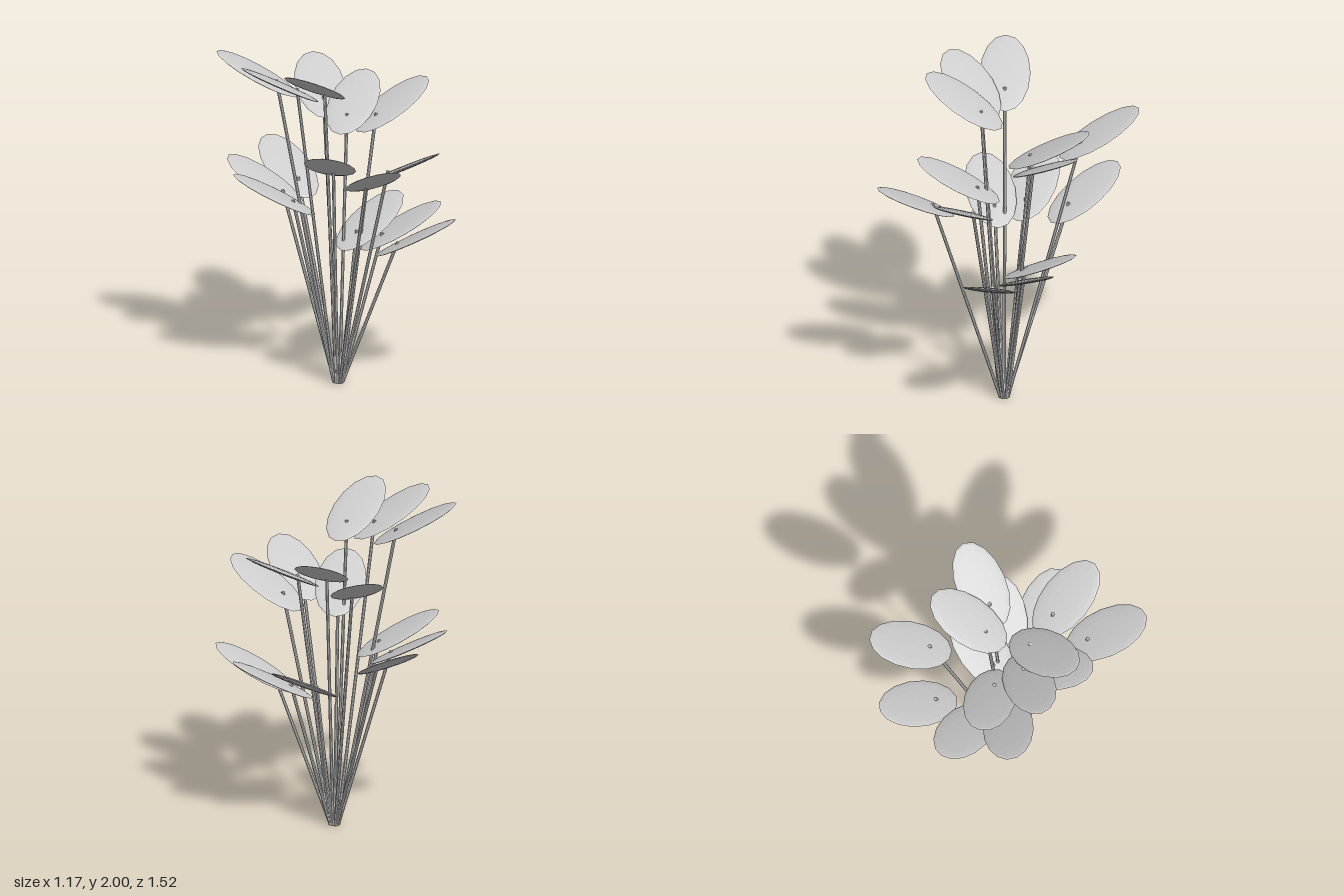
import * as THREE from 'three';

const leafGrey = new THREE.MeshStandardMaterial({ color: 0xcccccc, flatShading: true });
leafGrey.name = 'pale grey';

const BASE = [-0.017, 0, 0.022];  // foot of the bunch
const RING = 0.025;               // stems start on a small ring
const TILT = THREE.MathUtils.degToRad(28);
const LEAN = 0.11;                // leaf centre lies this far beyond its stem

// each tier: height of leaf centres, then [direction in degrees, reach] per leaf
const TIERS = [
  { y: 1.87, leaves: [[170, 0.26], [203, 0.375], [235, 0.472]] },
  { y: 1.635, leaves: [[337, 0.267], [14.5, 0.375], [307.6, 0.578]] },
  { y: 1.4, leaves: [[148.5, 0.267], [117.5, 0.578], [84.7, 0.472]] },
  { y: 1.16, leaves: [[222, 0.375], [254.5, 0.472], [288, 0.578]] },
  { y: 0.928, leaves: [[2, 0.265], [34, 0.375], [65, 0.472]] },
];

// flattened oval leaf, long axis on x
const leafGeometry = new THREE.SphereGeometry(1, 16, 10);
leafGeometry.scale(0.273, 0.014, 0.148);

// straight rod between two points of the x-y plane
function makeStem(x0, y0, x1, y1) {
  const length = Math.hypot(x1 - x0, y1 - y0);
  const stem = new THREE.Mesh(new THREE.CylinderGeometry(0.01, 0.01, length, 8), leafGrey);
  stem.name = 'stem';
  stem.position.set((x0 + x1) / 2, (y0 + y1) / 2, 0);
  stem.rotation.z = -Math.atan2(x1 - x0, y1 - y0);
  return stem;
}

// one stem with its leaf, built along +x and turned to its direction
function makeSprig(angle, reach, height) {
  const sprig = new THREE.Group();
  sprig.name = 'sprig';
  const stemTop = height - LEAN * Math.tan(TILT) + 0.022;
  sprig.add(makeStem(RING, 0, reach - LEAN, stemTop));

  const leaf = new THREE.Mesh(leafGeometry, leafGrey);
  leaf.name = 'leaf';
  leaf.position.set(reach, height, 0);
  leaf.rotation.z = TILT;
  sprig.add(leaf);

  sprig.rotation.y = -THREE.MathUtils.degToRad(angle);
  sprig.position.set(...BASE);
  return sprig;
}

export function createModel() {
  const plant = new THREE.Group();
  plant.name = 'plant';
  for (const { y, leaves } of TIERS) {
    for (const [angle, reach] of leaves) plant.add(makeSprig(angle, reach, y));
  }
  return plant;
}
